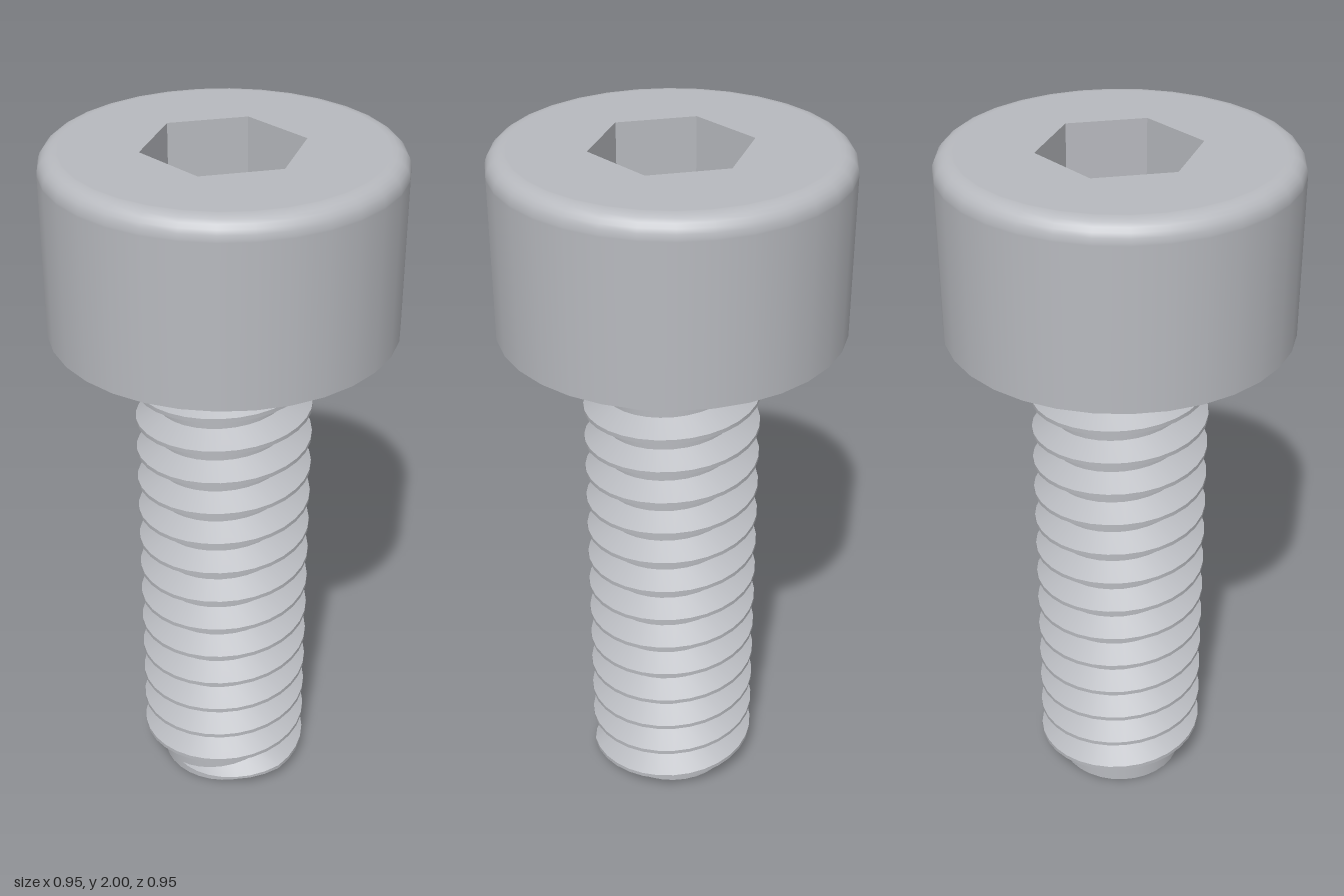
import * as THREE from 'three';

const SIDES = 32;
const HEAD_R = 0.475, HEAD_BOTTOM = 1.5, TOP = 2, FILLET = 0.05;
const HEX_R = 0.218, HEX_DEPTH = 0.25;
const CORE_R = 0.186, CREST_R = 0.247, PITCH = 0.1;

// One helical band between two profile points [radial share 0..1, axial offset]
function helixBand(lower, upper) {
  const positions = [], index = [];
  const startTurn = -0.25, endTurn = 15;
  const steps = Math.round((endTurn - startTurn) * SIDES);
  for (let i = 0; i <= steps; i++) {
    const turn = startTurn + i / SIDES;
    const grow = Math.min(1, i / (SIDES * 0.25)); // lead-in taper
    const angle = turn * Math.PI * 2;
    for (const [share, offset] of [lower, upper]) {
      const r = CORE_R - 0.002 + (CREST_R - CORE_R + 0.002) * share * grow;
      const y = Math.max(0, 0.05 + turn * PITCH + offset * grow);
      positions.push(r * Math.cos(angle), y, -r * Math.sin(angle));
    }
    if (i < steps) {
      const a = i * 2;
      index.push(a, a + 2, a + 1, a + 1, a + 2, a + 3);
    }
  }
  const geometry = new THREE.BufferGeometry();
  geometry.setAttribute('position', new THREE.Float32BufferAttribute(positions, 3));
  geometry.setIndex(index);
  geometry.computeVertexNormals();
  return geometry;
}

function hexPoints() {
  return Array.from({ length: 6 }, (_, i) => {
    const a = (i * Math.PI) / 3;
    return new THREE.Vector2(HEX_R * Math.cos(a), HEX_R * Math.sin(a));
  });
}

export function createModel() {
  const steel = new THREE.MeshStandardMaterial({ color: 0xb8babf });
  steel.name = 'steel';
  const model = new THREE.Group();
  model.name = 'socketHeadScrew';

  const add = (parent, name, geometry, y = 0) => {
    const mesh = new THREE.Mesh(geometry, steel);
    mesh.name = name;
    mesh.position.y = y;
    parent.add(mesh);
  };

  // Head: side wall with a rounded top edge
  const head = new THREE.Group();
  head.name = 'head';
  model.add(head);
  const profile = [new THREE.Vector2(HEAD_R, HEAD_BOTTOM), new THREE.Vector2(HEAD_R, TOP - FILLET - 0.005)];
  for (let i = 0; i <= 6; i++) {
    const a = (i / 6) * Math.PI / 2;
    profile.push(new THREE.Vector2(
      HEAD_R - FILLET + FILLET * Math.cos(a), TOP - FILLET + FILLET * Math.sin(a)));
  }
  profile.push(new THREE.Vector2(HEAD_R - FILLET - 0.003, TOP));
  add(head, 'headSide', new THREE.LatheGeometry(profile, SIDES));

  // Flat top with the hexagonal opening
  const face = new THREE.Shape();
  face.absarc(0, 0, HEAD_R - FILLET - 0.003, 0, Math.PI * 2, false);
  face.holes.push(new THREE.Path(hexPoints()));
  add(head, 'headTop', new THREE.ShapeGeometry(face, SIDES / 2).rotateX(-Math.PI / 2), TOP);
  add(head, 'headUnderside', new THREE.CircleGeometry(HEAD_R, SIDES).rotateX(Math.PI / 2), HEAD_BOTTOM);

  // Hex socket, mirrored so that its walls face inward
  const walls = new THREE.CylinderGeometry(HEX_R, HEX_R, HEX_DEPTH, 6, 1, true, Math.PI / 6)
    .scale(1, 1, -1).toNonIndexed();
  walls.computeVertexNormals();
  add(head, 'socketWalls', walls, TOP - HEX_DEPTH / 2);
  add(head, 'socketFloor',
    new THREE.ShapeGeometry(new THREE.Shape(hexPoints())).rotateX(-Math.PI / 2), TOP - HEX_DEPTH);

  // Shank core
  add(model, 'shankCore', new THREE.CylinderGeometry(CORE_R, CORE_R, HEAD_BOTTOM, SIDES), HEAD_BOTTOM / 2);

  // Right-handed thread: lower flank, narrow crest, upper flank
  const thread = new THREE.Group();
  thread.name = 'thread';
  model.add(thread);
  const section = [[0, -0.041], [1, -0.006], [1, 0.006], [0, 0.041]];
  ['lowerFlank', 'crest', 'upperFlank'].forEach((name, i) =>
    add(thread, name, helixBand(section[i], section[i + 1])));

  return model;
}
